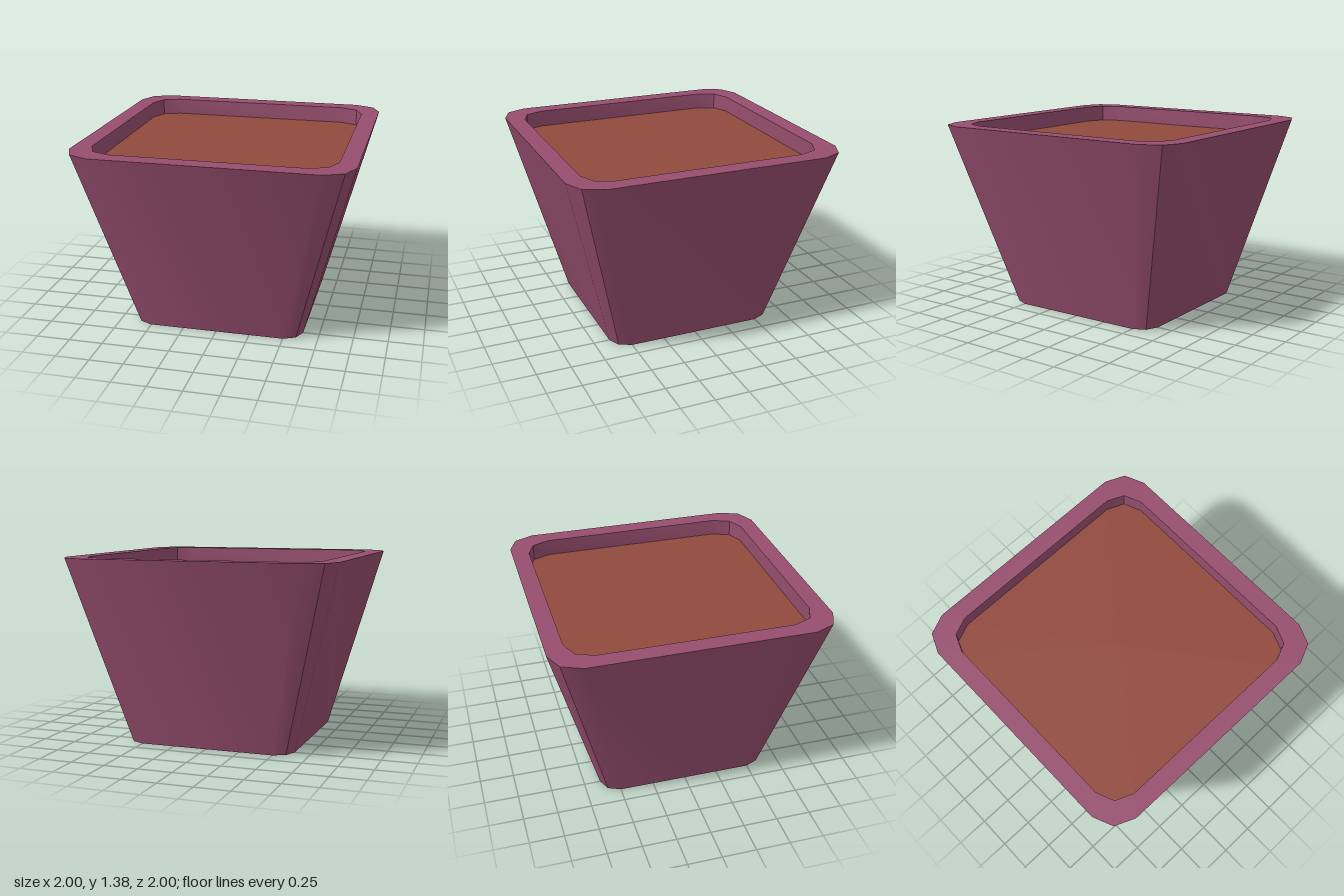
import * as THREE from 'three';
import { toCreasedNormals } from 'three/addons/utils/BufferGeometryUtils.js';

// Square ring with softened corners: half width, straight half length, corner position, height
function ring(half, straight, corner, y) {
  const side = [[half, -straight], [half, straight], [corner, corner]];
  const points = [];
  for (let q = 0; q < 4; q++) {
    for (const [x, z] of side) {
      let p = [x, z];
      for (let k = 0; k < q; k++) p = [-p[1], p[0]];
      points.push(new THREE.Vector3(p[0], y, p[1]));
    }
  }
  return points;
}

// Skin consecutive rings; a single-point ring closes an end
function loft(rings) {
  const points = [];
  for (let r = 0; r + 1 < rings.length; r++) {
    const a = rings[r], b = rings[r + 1];
    const n = Math.max(a.length, b.length);
    for (let i = 0; i < n; i++) {
      const j = (i + 1) % n;
      if (b.length > 1) points.push(a[i % a.length], b[i], b[j]);
      if (a.length > 1) points.push(a[i], b[j % b.length], a[j]);
    }
  }
  return toCreasedNormals(new THREE.BufferGeometry().setFromPoints(points), 0.58);
}

export function createModel() {
  const group = new THREE.Group();
  group.name = 'planter';

  const potMaterial = new THREE.MeshStandardMaterial({ color: 0x964e6e });
  potMaterial.name = 'plum glaze';
  const soilMaterial = new THREE.MeshStandardMaterial({ color: 0x91493d });
  soilMaterial.name = 'brown soil';

  const top = 1.377, soilY = 1.255;
  const centre = y => [new THREE.Vector3(0, y, 0)];
  const soilRing = ring(0.87, 0.69, 0.817, soilY);

  // Tapered pot: base, outer wall, flat rim and short inner wall
  const pot = new THREE.Mesh(loft([
    centre(0),
    ring(0.63, 0.5, 0.59, 0),
    ring(1, 0.795, 0.938, top),
    ring(0.87, 0.69, 0.817, top),
    soilRing,
  ]), potMaterial);
  pot.name = 'pot';

  // Soil surface filling the pot
  const soil = new THREE.Mesh(loft([soilRing, centre(soilY)]), soilMaterial);
  soil.name = 'soil';

  group.add(pot, soil);
  return group;
}
